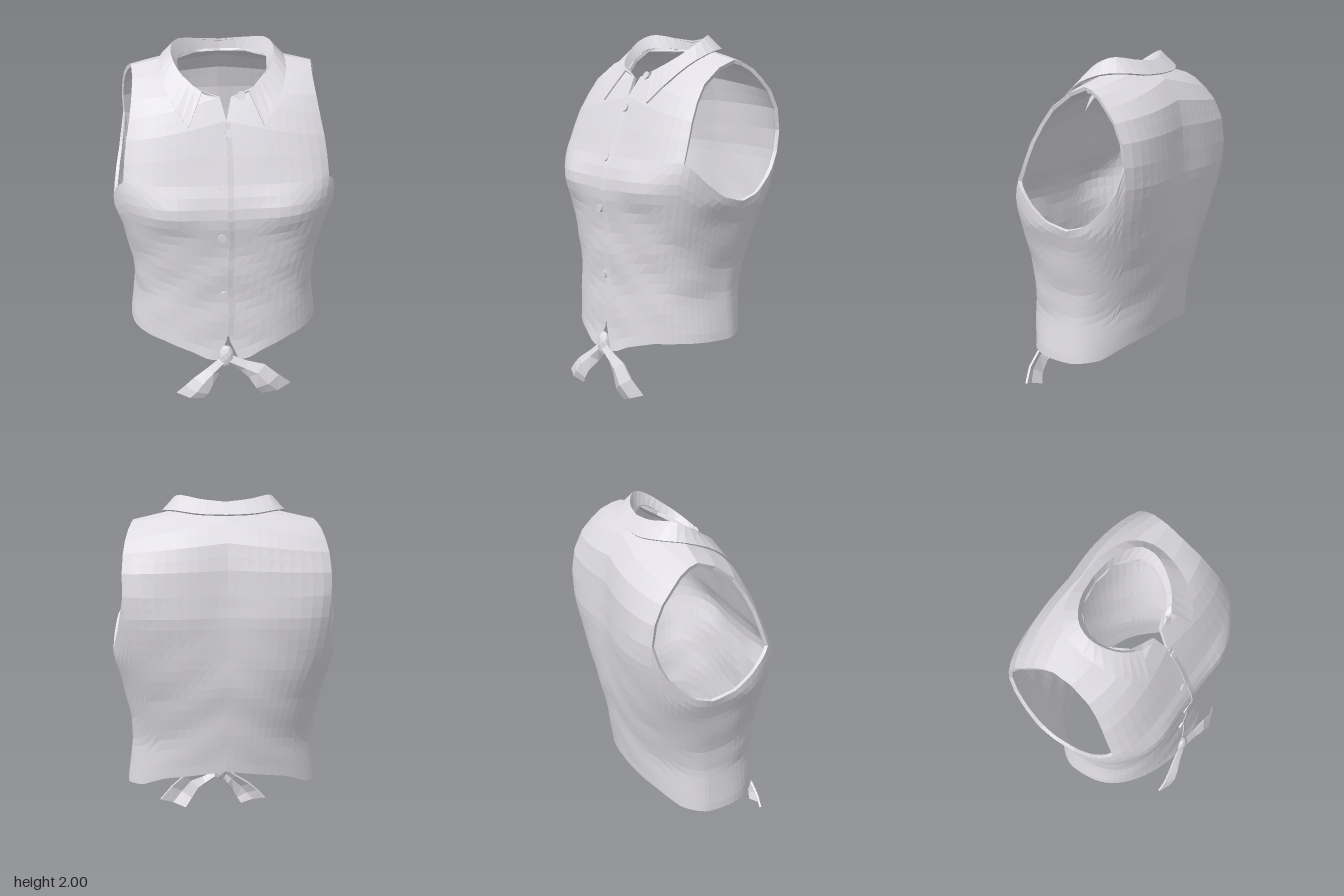
import * as THREE from 'three';
import { mergeVertices } from 'three/addons/utils/BufferGeometryUtils.js';

const V = (x, y, z) => new THREE.Vector3(x, y, z);
const RAD = Math.PI / 180;
const bump = (d, w) => Math.exp(-((d / w) ** 2));

// piecewise linear lookup in a list of [key, value]
function table(rows, k) {
  if (k <= rows[0][0]) return rows[0][1];
  for (let i = 1; i < rows.length; i++) {
    const [k0, v0] = rows[i - 1], [k1, v1] = rows[i];
    if (k <= k1) return v0 + (v1 - v0) * (k - k0) / (k1 - k0);
  }
  return rows[rows.length - 1][1];
}

// point on an evenly spaced polyline
function along(pts, t) {
  const f = t * (pts.length - 1), i = Math.min(Math.floor(f), pts.length - 2);
  return V(...pts[i]).lerp(V(...pts[i + 1]), f - i);
}

// collects grid patches, then thickens them into a cloth shell with closed rims
class Cloth {
  constructor() { this.pos = []; this.idx = []; }
  patch(fn, nu, nv, flip = false, mirror = false) {
    const base = this.pos.length / 3;
    for (let j = 0; j <= nv; j++) for (let i = 0; i <= nu; i++) {
      const p = fn(i / nu, j / nv);
      this.pos.push(mirror ? -p.x : p.x, p.y, p.z);
    }
    for (let j = 0; j < nv; j++) for (let i = 0; i < nu; i++) {
      const a = base + j * (nu + 1) + i, b = a + 1, c = b + nu + 1, d = c - 1;
      if (flip !== mirror) this.idx.push(a, c, b, a, d, c);
      else this.idx.push(a, b, c, a, c, d);
    }
  }
  both(fn, nu, nv, flip) {
    this.patch(fn, nu, nv, flip, false);
    this.patch(fn, nu, nv, flip, true);
  }
  build(thick) {
    let g = new THREE.BufferGeometry();
    g.setAttribute('position', new THREE.Float32BufferAttribute(this.pos, 3));
    g.setIndex(this.idx);
    g = mergeVertices(g, 1e-4);
    g.computeVertexNormals();
    const P = g.attributes.position, N = g.attributes.normal, n = P.count;
    const id = Array.from(g.index.array), out = [...id], pos = Array.from(P.array), edges = new Set();
    for (let i = 0; i < n * 3; i++) pos.push(P.array[i] - N.array[i] * thick);
    for (let i = 0; i < id.length; i += 3) {
      out.push(id[i] + n, id[i + 2] + n, id[i + 1] + n);
      for (let k = 0; k < 3; k++) edges.add(id[i + k] + '_' + id[i + (k + 1) % 3]);
    }
    for (const e of edges) {
      const [a, b] = e.split('_').map(Number);
      if (!edges.has(b + '_' + a)) out.push(b, a, a + n, b, a + n, b + n);
    }
    const s = new THREE.BufferGeometry();
    s.setAttribute('position', new THREE.Float32BufferAttribute(pos, 3));
    s.setIndex(out);
    return flat(s);
  }
}

function flat(g) {
  const f = g.index ? g.toNonIndexed() : g;
  f.computeVertexNormals();
  return f;
}

// torso cross-section profiles by height
const WIDTH = [[.25, .54], [.36, .552], [.6, .52], [.75, .53], [1, .585], [1.12, .622], [1.5, .62]];
const FRONT = [[.25, .4], [.34, .385], [.6, .375], [.9, .38], [1.05, .395], [1.13, .405], [1.2, .402], [1.27, .382], [1.34, .35], [1.5, .3]];
const BACK = [[.3, -.34], [.49, -.355], [.8, -.4], [1.1, -.44], [1.35, -.468], [1.5, -.458]];
const FRONT_POWER = [[.34, 2.5], [.9, 2.8], [1.12, 3.1], [1.34, 4.4]];
const BACK_POWER = [[.34, 1.85], [.65, 1.95], [.9, 2.4], [1.12, 3.1], [1.34, 4.4], [1.48, 5.4]];
const HEM = [[0, .245], [8, .253], [20, .295], [38, .34], [55, .35], [90, .35], [120, .37], [140, .43], [180, .49]];
const ARM = [[-.4, 1.48], [-.365, 1.35], [-.31, 1.26], [-.19, 1.155], [-.08, 1.12], [.05, 1.155], [.15, 1.225], [.27, 1.34]];
const A = 48.4, B = 133.7; // angles of the armhole corners

function section(deg, y) {
  const s = Math.sin(deg * RAD), c = Math.cos(deg * RAD), mid = -.05;
  const n = table(c > 0 ? FRONT_POWER : BACK_POWER, y);
  const r = (Math.abs(s) ** n + Math.abs(c) ** n) ** (-1 / n);
  const depth = c > 0 ? table(FRONT, y) - mid : mid - table(BACK, y);
  return V(deg === 180 ? 0 : table(WIDTH, y) * r * s, y, mid + depth * r * c);
}

// bust fullness, hollow of the back, soft folds and the opening above the knot
function drape(p) {
  const { x, y, z } = p;
  if (z > 0) {
    p.z += .022 * bump(x - .32, .14) * bump(y - 1.18, .1);
    p.z -= .014 * bump(x - .33, .05) * bump(y - 1.145, .02);
    if (y < .39) p.x += (.39 - y) * .42 * Math.max(0, 1 - x / .3);
  } else if (z < -.2) p.z += .022 * bump(x, .15) * bump(y - 1.4, .25);
  const fold = .005 * Math.sin(19 * y + 7 * x + 4 * z) * Math.sin(9 * x - 11 * z + 3 * y) * bump(y - .75, .45);
  p.x *= 1 + fold;
  p.z += fold;
  return p;
}

// columns are shared by the lower body and the panels above it
function lower(deg) {
  let top = deg <= A ? 1.34 : 1.48;
  if (deg > A && deg < B) {
    top = 1.2;
    for (let i = 0; i < 6; i++) top = table(ARM, section(deg, top).z);
  }
  const hem = table(HEM, deg);
  return v => drape(section(deg, v === 1 ? top : hem + (top - hem) * v));
}

function panel(inner, outer, degIn, degOut, y0, puff) {
  return (s, t) => {
    const p = along(inner, t).lerp(along(outer, t), s);
    const start = section(degIn + (degOut - degIn) * s, y0);
    const base = V(...inner[0]).lerp(V(...outer[0]), s);
    p.add(start.sub(base).multiplyScalar((1 - t) ** 2));
    p.z += puff * Math.sin(Math.PI * s) * Math.sin(Math.PI * t);
    return drape(p);
  };
}

export function createModel() {
  const group = new THREE.Group();
  const cloth = new THREE.MeshStandardMaterial({ color: 0xdedce2 });
  cloth.name = 'pale grey cloth';
  const add = (name, geo) => {
    const m = new THREE.Mesh(geo, cloth);
    m.name = name;
    group.add(m);
    return m;
  };

  // sleeveless body
  const body = new Cloth();
  for (const [d0, d1, n] of [[0, A, 10], [A, B, 20], [B, 180, 10]])
    body.both((u, v) => lower(u === 1 ? d1 : d0 + (d1 - d0) * u)(v), n, 18);
  const frontIn = [[0, 1.34, .35], [0, 1.5, .29], [0, 1.66, .225], [.03, 1.77, .16], [.15, 1.8, .11], [.24, 1.86, 0], [.25, 1.92, -.1]];
  const frontOut = [[.56, 1.34, .27], [.55, 1.45, .235], [.535, 1.55, .2], [.515, 1.65, .15], [.5, 1.74, .09], [.49, 1.825, -.02], [.495, 1.865, -.12]];
  const backIn = [[0, 1.48, -.45], [0, 1.62, -.432], [0, 1.76, -.395], [0, 1.87, -.315], [0, 1.915, -.235], [.14, 1.92, -.21], [.25, 1.92, -.1]];
  const backOut = [[.56, 1.48, -.4], [.56, 1.6, -.385], [.552, 1.7, -.34], [.54, 1.765, -.285], [.522, 1.82, -.23], [.505, 1.853, -.17], [.495, 1.865, -.12]];
  body.both(panel(frontIn, frontOut, 0, A, 1.34, .025), 10, 12);
  body.both(panel(backIn, backOut, 180, B, 1.48, -.03), 10, 12, true);
  add('body', body.build(.02));

  // overlapping front edge
  const frontZ = y => y < 1.34 ? drape(section(0, y)).z : table([[1.34, .35], [1.5, .29], [1.66, .225]], y);
  const placket = new Cloth();
  placket.patch((u, v) => {
    const y = .4 + 1.25 * v;
    return V(.004 * Math.sin(y * 14) + .06 * u, y, frontZ(y) + .007 - .013 * u);
  }, 1, 20);
  add('placket', placket.build(.006));

  // folded collar: neckline, fold and outer edge
  const lines = [
    [[0, 1.91, -.228], [.11, 1.915, -.21], [.2, 1.92, -.155], [.242, 1.91, -.08], [.235, 1.86, 0], [.18, 1.805, .08], [.04, 1.77, .16]],
    [[0, 1.965, -.235], [.13, 1.978, -.215], [.25, 1.997, -.14], [.28, 1.965, -.06], [.26, 1.91, .02], [.205, 1.85, .1], [.125, 1.8, .155]],
    [[0, 1.9, -.3], [.15, 1.905, -.288], [.28, 1.92, -.22], [.34, 1.91, -.11], [.335, 1.845, .05], [.285, 1.745, .17], [.203, 1.635, .25]],
  ].map(l => new THREE.CatmullRomCurve3(l.map(p => V(...p))));
  const collar = new Cloth();
  collar.both((u, v) => {
    const p = lines[Math.round(v * 2)].getPoint(u);
    if (u === 0) p.x = 0;
    return p;
  }, 16, 2);
  add('collar', collar.build(.01));

  // buttons
  for (const [x, y, z] of [[.085, 1.775, .16], [.015, 1.6, .254], [-.022, 1.33, .357], [-.035, 1.045, .398], [-.022, .67, .379]]) {
    const b = add('button', flat(new THREE.CylinderGeometry(.024, .024, .014, 10).rotateX(Math.PI / 2)));
    b.position.set(x, y, z);
    b.rotation.x = y > 1.2 ? -.4 : 0;
  }

  // knot at the waist
  const knot = add('knot', flat(new THREE.IcosahedronGeometry(1, 1)));
  knot.scale.set(.045, .075, .035);
  knot.position.set(-.012, .265, .39);

  // tie ends: creased ribbons between an upper and a lower edge
  const tie = (name, upper, lowerEdge, flip) => {
    const ribbon = new Cloth();
    ribbon.patch((u, v) => {
      const p = along(upper, v).lerp(along(lowerEdge, v), u);
      if (u === .5) p.z += .025;
      return p;
    }, 2, upper.length - 1, flip);
    add(name, ribbon.build(.012));
  };
  tie('leftTie',
    [[.01, .275, .39], [.11, .235, .4], [.21, .212, .41], [.29, .14, .415], [.362, .065, .39]],
    [[.01, .22, .38], [.08, .17, .39], [.125, .13, .41], [.165, .06, .42], [.205, .006, .395]], true);
  tie('rightTie',
    [[-.03, .27, .39], [-.12, .2, .405], [-.2, .145, .42], [-.25, .1, .425], [-.3, .05, .42]],
    [[-.03, .21, .38], [-.06, .16, .395], [-.1, .1, .43], [-.125, .05, .44], [-.15, .015, .43]], false);

  return group;
}
